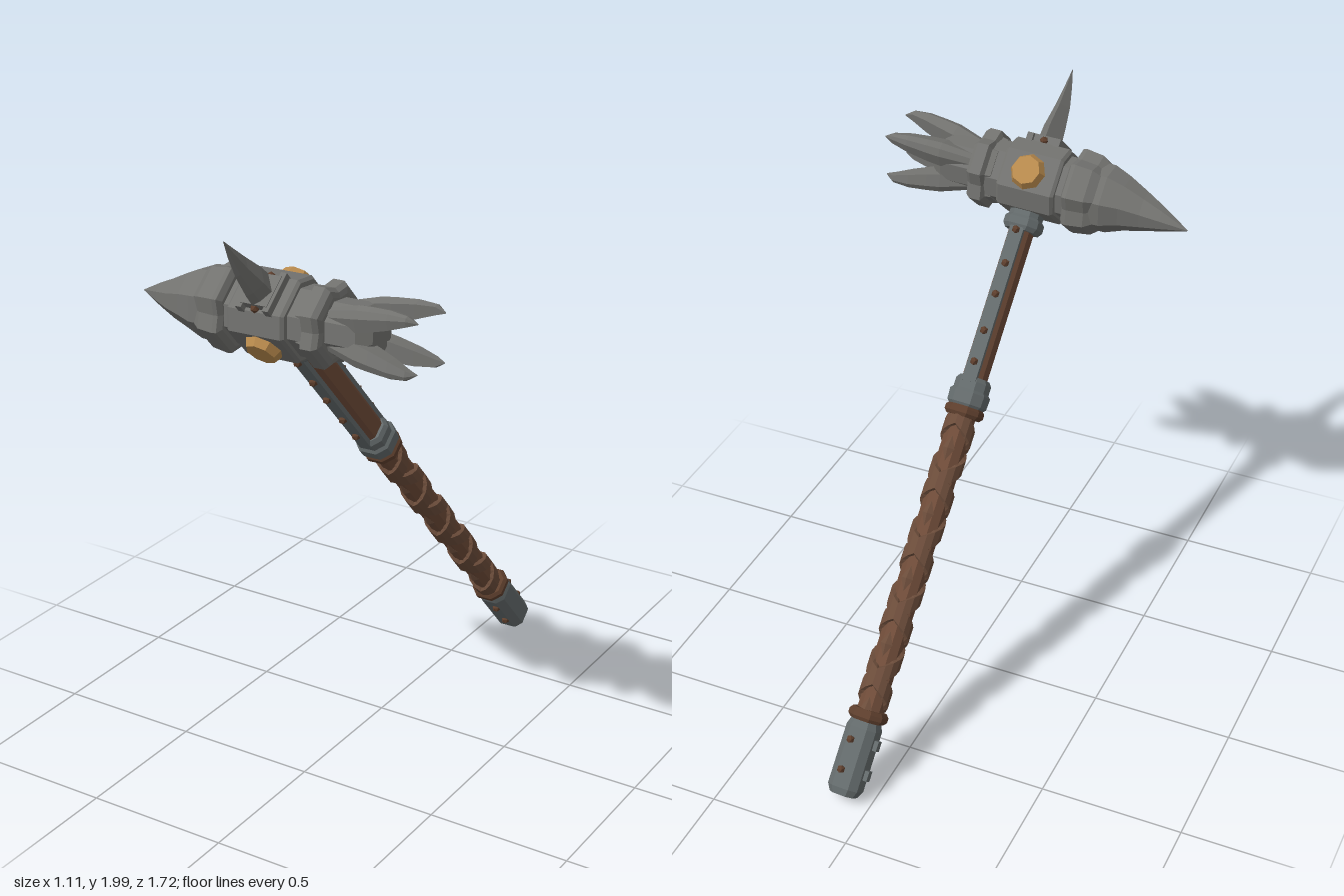
import * as THREE from 'three';

const mat = (name, color) => {
  const m = new THREE.MeshStandardMaterial({ color });
  m.name = name;
  return m;
};

// Chamfered square section (half size a, half flat f), optionally notched at the diagonals
function chamfered(a, f, notch = 0) {
  const pts = [];
  for (let k = 0; k < 4; k++) {
    const c = Math.round(Math.cos(k * Math.PI / 2)), s = Math.round(Math.sin(k * Math.PI / 2));
    const corner = notch ? [[a, -f], [a, f], [notch, notch]] : [[a, -f], [a, f]];
    for (const [y, z] of corner) pts.push([y * c - z * s, y * s + z * c]);
  }
  return pts;
}

// Faceted skin over rings of points that run counter-clockwise around the travel direction
function loft(rings) {
  const v = [], n = rings[0].length;
  const tri = (...ps) => ps.forEach(p => v.push(...p));
  for (let i = 0; i < rings.length - 1; i++) {
    for (let j = 0; j < n; j++) {
      const k = (j + 1) % n, a = rings[i], b = rings[i + 1];
      tri(a[j], a[k], b[k]);
      tri(a[j], b[k], b[j]);
    }
  }
  const first = rings[0], last = rings[rings.length - 1];
  const mid = r => [0, 1, 2].map(c => r.reduce((s, p) => s + p[c], 0) / n);
  for (let j = 0; j < n; j++) {
    const k = (j + 1) % n;
    tri(mid(first), first[k], first[j]);
    tri(mid(last), last[j], last[k]);
  }
  const g = new THREE.BufferGeometry();
  g.setAttribute('position', new THREE.Float32BufferAttribute(v, 3));
  g.computeVertexNormals();
  return g;
}

// Section carried along x; stations are [x, scale, yOffset, zOffset]
const bar = (section, stations) => loft(stations.map(([x, s, dy = 0, dz = 0]) =>
  section.map(([y, z]) => [x, y * s + dy, z * s + dz])));

const faceted = g => {
  const f = g.index ? g.toNonIndexed() : g;
  f.computeVertexNormals();
  return f;
};

function add(parent, name, geometry, material, x = 0, y = 0, z = 0) {
  const m = new THREE.Mesh(geometry, material);
  m.name = name;
  m.position.set(x, y, z);
  parent.add(m);
  return m;
}

export function createModel() {
  const iron = mat('iron', 0x72726f);
  const steel = mat('steel', 0x636a6b);
  const leather = mat('leather', 0x6b4c3a);
  const wood = mat('wood', 0x6e4b38);
  const bronze = mat('darkBronze', 0x5e3f2d);
  const gold = mat('gold', 0xb88a4d);

  const model = new THREE.Group();
  model.name = 'warHammer';
  const hammer = new THREE.Group();
  hammer.name = 'tiltedHammer';
  model.add(hammer);

  // The whole hammer leans forward, butt end on the ground
  const Y = new THREE.Vector3(-0.0386, 0.757, 0.6525).normalize();
  const Z = new THREE.Vector3(1, 0.03, 0.024).cross(Y).normalize();
  const X = new THREE.Vector3().crossVectors(Y, Z);
  hammer.quaternion.setFromRotationMatrix(new THREE.Matrix4().makeBasis(X, Y, Z));
  hammer.position.set(0.095, 0.04, -0.825);

  const studGeo = faceted(new THREE.IcosahedronGeometry(0.015, 0));

  // ---- Handle: built along x, then stood upright
  const handle = new THREE.Group();
  handle.name = 'handle';
  handle.rotation.z = Math.PI / 2;
  hammer.add(handle);

  add(handle, 'pommel', bar(chamfered(0.055, 0.03), [[0, 0.78], [0.025, 1], [0.235, 1], [0.26, 0.85]]), steel);
  for (const s of [0.085, 0.19]) {
    for (const z of [-0.057, 0.057]) add(handle, 'pommelStud', studGeo, bronze, s, -0.015, z);
    add(handle, 'pommelLug', faceted(new THREE.BoxGeometry(0.035, 0.02, 0.03)), steel, s, 0.06, 0);
  }

  // Grip end rings
  for (const s of [0.28, 1.36])
    add(handle, 'gripRing', bar(chamfered(0.062, 0.03), [[s - 0.02, 0.85], [s - 0.008, 1], [s + 0.008, 1], [s + 0.02, 0.85]]), bronze);

  // Grip core with two straps wound in opposite directions
  add(handle, 'gripCore', bar(chamfered(0.041, 0.018), [[0.27, 1], [1.37, 1]]), wood);
  const start = 0.3, turns = 4.5, pitch = 1.04 / turns;
  for (const dir of [1, -1]) {
    const rings = [];
    for (let i = 0; i <= turns * 14; i++) {
      const t = i / 14, s = start + t * pitch, ang = Math.PI / 2 + dir * t * 2 * Math.PI;
      const section = [[-0.036, 0.034], [0.036, 0.034], [0.028, 0.056], [-0.028, 0.056]];
      if (dir < 0) section.reverse();
      rings.push(section.map(([ds, r]) => [s + ds, r * Math.cos(ang), r * Math.sin(ang)]));
    }
    add(handle, 'gripStrap', loft(rings), leather);
  }
  // Raised diamonds in the gaps of the wrap
  const diamondGeo = faceted(new THREE.OctahedronGeometry(1, 0).scale(0.045, 0.022, 0.012));
  for (let k = 0; k < turns * 2; k++)
    add(handle, 'gripDiamond', diamondGeo, leather, start + k * pitch / 2, 0, k % 2 ? 0.042 : -0.042);

  // Middle collar
  add(handle, 'middleCollar', bar(chamfered(0.062, 0.032),
    [[1.375, 0.85], [1.385, 1], [1.425, 1.03], [1.435, 0.9], [1.465, 0.9], [1.48, 0.75]]), steel);

  // Wooden shaft with riveted metal strips front and back
  add(handle, 'shaft', faceted(bar(chamfered(0.037, 0.022), [[1.46, 1], [2.08, 1]]).scale(1, 1, 1.2)), wood);
  for (const side of [-1, 1]) {
    add(handle, 'shaftStrip', faceted(new THREE.BoxGeometry(0.58, 0.05, 0.024)), steel, 1.75, 0, side * 0.045);
    for (const s of [1.53, 1.64, 1.77, 1.88, 2.0]) add(handle, 'shaftStud', studGeo, bronze, s, 0, side * 0.06);
  }
  add(handle, 'neckCollar', bar(chamfered(0.062, 0.034),
    [[2.005, 0.85], [2.02, 1], [2.045, 1], [2.055, 0.85], [2.1, 0.85]]), steel);

  // ---- Head: long axis along x
  const head = new THREE.Group();
  head.name = 'head';
  head.position.y = 2.19;
  hammer.add(head);

  add(head, 'headBlock', bar(chamfered(0.118, 0.066), [[-0.11, 0.93], [-0.1, 1], [0.09, 1], [0.1, 0.93]]), iron);
  add(head, 'headCore', bar(chamfered(0.1, 0.05), [[-0.16, 1], [0.17, 1]]), iron);
  add(head, 'beakCollar', bar(chamfered(0.132, 0.058, 0.088),
    [[-0.255, 0.78], [-0.22, 0.96], [-0.16, 1.02], [-0.145, 1], [-0.135, 0.85]]), iron);
  add(head, 'clawCollar', bar(chamfered(0.126, 0.054, 0.082),
    [[0.13, 0.82], [0.15, 0.85], [0.16, 1], [0.2, 1], [0.215, 0.9], [0.22, 0.75]]), iron);

  // Drooping beak
  add(head, 'beak', bar(chamfered(0.105, 0.048), [
    [-0.565, 0.01, -0.042, -0.015], [-0.47, 0.36, -0.024, -0.006], [-0.4, 0.59, -0.012, 0],
    [-0.33, 0.82, -0.002, 0], [-0.27, 1.02], [-0.23, 1.03]]), iron);

  // Four splayed claws around a solid root
  add(head, 'clawRoot', bar(chamfered(0.082, 0.036), [[0.2, 1], [0.33, 1], [0.37, 0.6]]), iron);
  const clawSection = [[0.8, -0.5], [1, 0], [0.8, 0.5], [0, 0.95], [-0.9, 0], [0, -0.95]];
  const clawGeo = bar(clawSection, [[0.22, 0.038, 0.05], [0.33, 0.05, 0.072], [0.38, 0.046, 0.083],
    [0.45, 0.036, 0.1], [0.51, 0.02, 0.112], [0.542, 0.002, 0.108]]);
  for (let k = 0; k < 4; k++) add(head, 'claw', clawGeo, iron).rotation.x = k * Math.PI / 2;

  // Gold bosses front and back
  const bossGeo = faceted(new THREE.CylinderGeometry(0.05, 0.066, 0.034, 8).rotateX(Math.PI / 2));
  for (const side of [0, 1]) {
    const boss = add(head, 'goldBoss', bossGeo, gold, 0, 0, side ? -0.128 : 0.128);
    boss.rotation.y = side * Math.PI;
  }

  // Top spike on a bracketed base
  add(head, 'spikeBase', faceted(new THREE.BoxGeometry(0.1, 0.04, 0.11)), iron, 0, 0.125, 0);
  for (const side of [-1, 1]) {
    add(head, 'spikeBracket', faceted(new THREE.BoxGeometry(0.022, 0.045, 0.14)), iron, side * 0.05, 0.12, 0);
    add(head, 'spikeStud', studGeo, bronze, 0, 0.127, side * 0.058);
  }
  const spike = add(head, 'topSpike', bar([[0.75, 0], [0.35, 0.7], [0, 1], [-0.35, 0.7], [-0.75, 0], [0, -1]],
    [[0.12, 0.06], [0.19, 0.053, 0, 0.003], [0.27, 0.036, 0.004, 0.005], [0.34, 0.018, 0.003, 0.003], [0.4, 0.001]]), iron);
  spike.rotation.z = Math.PI / 2;

  return model;
}
